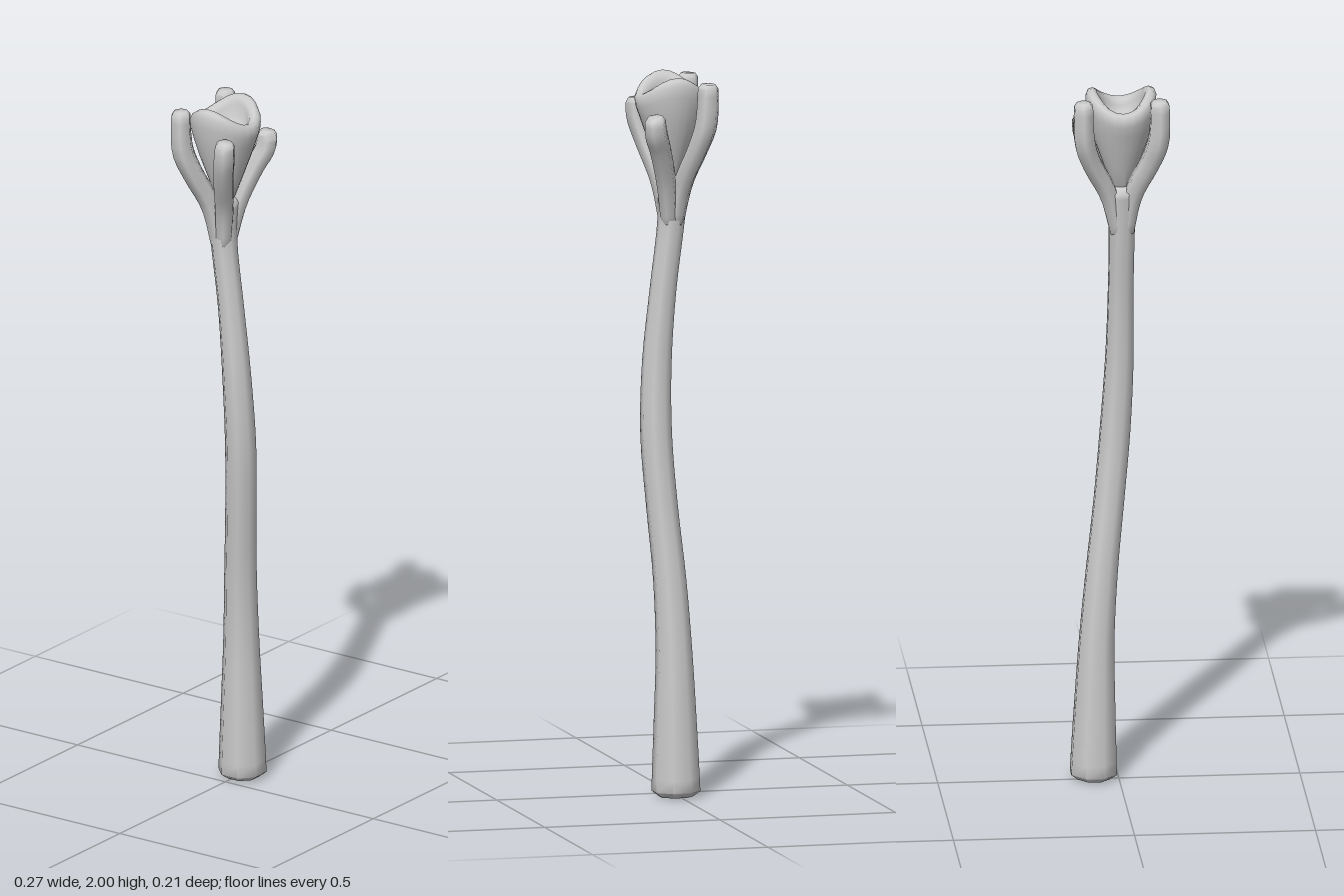
import * as THREE from 'three';
import { toCreasedNormals } from 'three/addons/utils/BufferGeometryUtils.js';

const material = new THREE.MeshStandardMaterial({ color: 0xcccccc });
const UP = new THREE.Vector3(0, 1, 0);

// Closed tube through [x, y, z, radius] stations, with small bevels at both ends
function sweep(stations, sides, steps, bevel) {
  const path = new THREE.CatmullRomCurve3(stations.map(s => new THREE.Vector3(s[0], s[1], s[2])));
  const radius = new THREE.SplineCurve(stations.map((s, i) => new THREE.Vector2(i, s[3])));
  const rings = [[0, 0, 0], [0, 0.7, 0]];
  for (let i = 0; i <= steps; i++) rings.push([i / steps, 1, i === 0 ? bevel : i === steps ? -bevel : 0]);
  rings.push([1, 0.7, 0], [1, 0, 0]);

  const positions = [], index = [];
  rings.forEach(([t, scale, shift], k) => {
    const tangent = path.getTangent(t);
    const q = new THREE.Quaternion().setFromUnitVectors(UP, tangent);
    const centre = path.getPoint(t).addScaledVector(tangent, shift);
    const r = radius.getPoint(t).y * scale;
    for (let j = 0; j < sides; j++) {
      const a = ((j + 0.5) / sides) * Math.PI * 2;
      const p = new THREE.Vector3(Math.cos(a) * r, 0, Math.sin(a) * r).applyQuaternion(q).add(centre);
      positions.push(p.x, p.y, p.z);
      if (k === 0) continue;
      const n = (j + 1) % sides;
      const b = (k - 1) * sides, c = k * sides;
      index.push(b + j, c + j, b + n, b + n, c + j, c + n);
    }
  });
  const g = new THREE.BufferGeometry();
  g.setAttribute('position', new THREE.Float32BufferAttribute(positions, 3));
  g.setIndex(index);
  return toCreasedNormals(g, 1.1);
}

function add(group, name, geometry) {
  const mesh = new THREE.Mesh(geometry, material);
  mesh.name = name;
  group.add(mesh);
  return mesh;
}

export function createModel() {
  const model = new THREE.Group();
  model.name = 'stalkWithCup';

  // Gently bent stalk, thickest at the foot
  add(model, 'stalk', sweep([
    [0.07, 0.0, 0.008, 0.068],
    [0.066, 0.2, 0.009, 0.06],
    [0.06, 0.4, 0.011, 0.051],
    [0.045, 0.6, 0.019, 0.046],
    [0.024, 0.8, 0.035, 0.044],
    [0.006, 1.0, 0.047, 0.044],
    [-0.005, 1.2, 0.042, 0.041],
    [-0.007, 1.4, 0.024, 0.037],
    [-0.008, 1.6, 0.0, 0.038],
    [-0.006, 1.72, -0.004, 0.046],
  ], 8, 36, 0.015));

  // Four prongs splaying from the stalk and rising around the cup
  const prongs = [
    ['frontLeftProng', 1, 1, 1.9, -0.008],
    ['backLeftProng', 1, -1, 1.985, 0],
    ['frontRightProng', -1, 1, 1.925, 0.004],
    ['backRightProng', -1, -1, 1.985, 0.004],
  ];
  for (const [name, sx, sz, top, out] of prongs) {
    const bend = Math.min(1.87, top - 0.05);
    add(model, name, sweep([
      [-0.008 + 0.01 * sx, 1.58, 0.008 * sz, 0.024],
      [-0.004 + 0.034 * sx, 1.7, 0.024 * sz, 0.028],
      [(0.078 + out) * sx, 1.8, 0.052 * sz, 0.03],
      [(0.1 + out) * sx, bend, 0.07 * sz, 0.032],
      [(0.104 + out) * sx, top, 0.075 * sz, 0.029],
    ], 6, 14, 0.012));
  }

  // Cup with a thick rolled rim and a shallow bowl inside
  const profile = [
    [0, 1.68], [0.025, 1.72], [0.048, 1.78], [0.07, 1.84], [0.086, 1.89], [0.096, 1.93],
    [0.098, 1.955], [0.092, 1.97], [0.08, 1.975], [0.068, 1.968], [0.061, 1.95],
    [0.058, 1.925], [0.045, 1.91], [0.025, 1.903], [0, 1.9],
  ].map(p => new THREE.Vector2(...p));
  const cup = new THREE.LatheGeometry(profile, 24);
  const pos = cup.attributes.position;
  for (let i = 0; i < pos.count; i++) {
    // Saddle wave: rim high at the sides, low at front and back
    const x = pos.getX(i), y = pos.getY(i), z = pos.getZ(i);
    const lift = THREE.MathUtils.smoothstep(y, 1.86, 1.97) * Math.min(1, Math.hypot(x, z) / 0.06);
    pos.setY(i, y + 0.025 * lift * Math.cos(2 * Math.atan2(z, x)));
  }
  add(model, 'cup', toCreasedNormals(cup, 1.2)).position.set(-0.006, 0, 0.004);

  return model;
}
